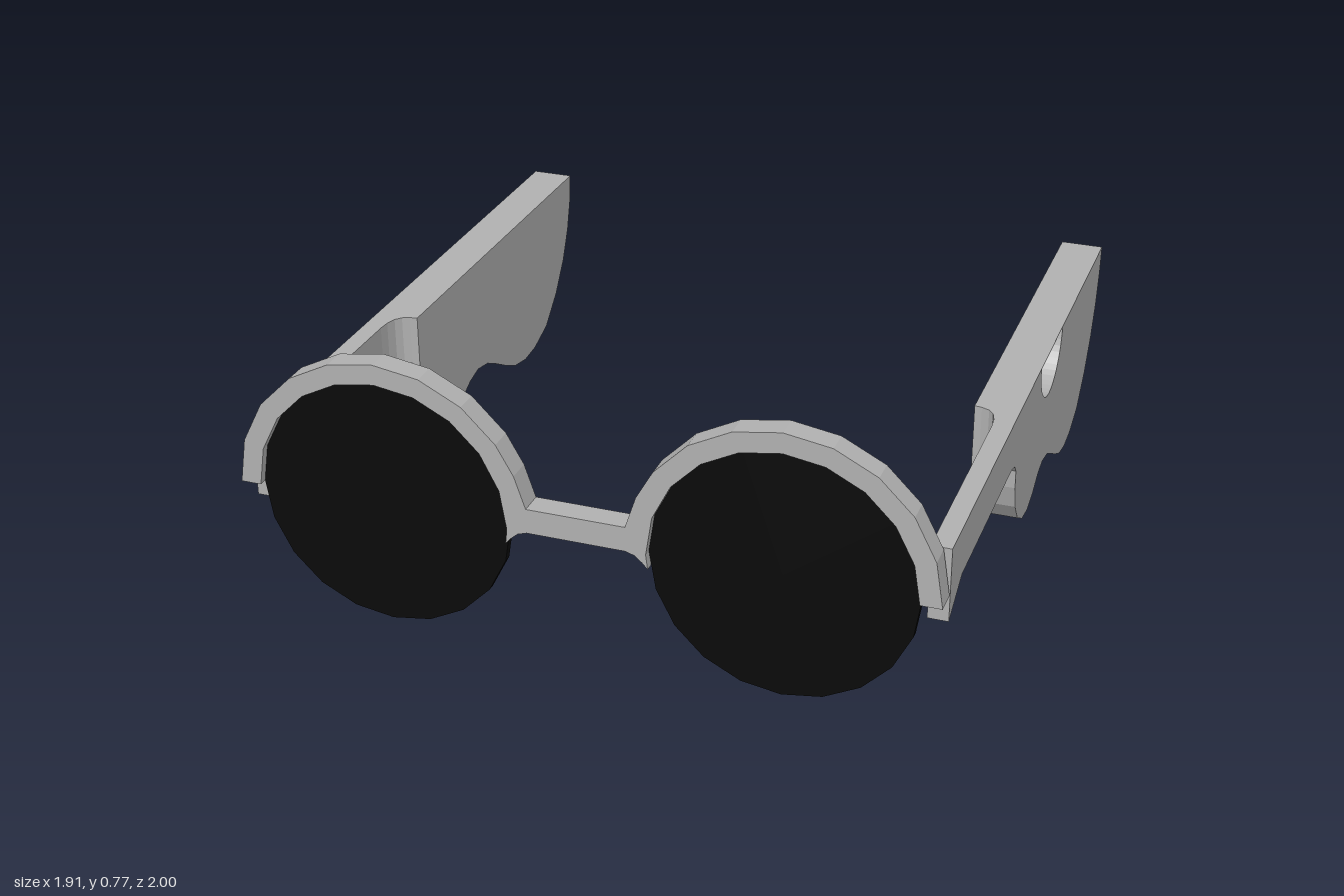
import * as THREE from 'three';

const grey = new THREE.MeshStandardMaterial({ color: 0xb0b0b0 });
grey.name = 'frameGrey';
const black = new THREE.MeshStandardMaterial({ color: 0x0a0a0a });
black.name = 'lensBlack';

const LENS_X = 0.545, LENS_Y = 0.36, LENS_R = 0.355, RIM_R = 0.412;
const OUTER = 0.957, MID = 0.902, INNER = 0.832, TOP = 0.488;

function addMesh(parent, name, geometry, material) {
  const mesh = new THREE.Mesh(geometry, material);
  mesh.name = name;
  parent.add(mesh);
  return mesh;
}

const toShape = (pts) => new THREE.Shape(pts.map(([x, y]) => new THREE.Vector2(x, y)));
const extrude = (shape, depth) =>
  new THREE.ExtrudeGeometry(shape, { depth, bevelEnabled: false, curveSegments: 12 });

// Point on a circle around the lens centre, angle in degrees
function rimPoint(r, deg) {
  const a = THREE.MathUtils.degToRad(deg);
  return [LENS_X + r * Math.cos(a), LENS_Y + r * Math.sin(a)];
}

// Half-round rims joined by the bridge, as one outline mirrored across x = 0
function frameGeometry() {
  const half = [[0.135, 0.36], [0.16, 0.352], [0.18, 0.335], [0.195, 0.318]];
  for (let d = 180; d >= 0; d -= 18) half.push(rimPoint(LENS_R, d));
  for (let d = 0; d <= 144; d += 18) half.push(rimPoint(RIM_R, d));
  half.push([0.165, 0.52], [0.135, 0.43]);
  const mirrored = half.map(([x, y]) => [-x, y]).reverse();
  return extrude(toShape([...half, ...mirrored]), 0.068).translate(0, 0, 0.932);
}

// Wavy lower edge of the ear piece, as [z, y] from the back tip to its front
const wave = [
  [-1, TOP], [-0.99, 0.4], [-0.965, 0.31], [-0.92, 0.215], [-0.85, 0.12], [-0.76, 0.04],
  [-0.66, 0.006], [-0.58, 0], [-0.5, 0.015], [-0.42, 0.053], [-0.35, 0.092], [-0.29, 0.122],
  [-0.22, 0.135], [-0.16, 0.122], [-0.1, 0.092], [-0.03, 0.075], [0.04, 0.085],
  [0.11, 0.125], [0.155, 0.185], [0.175, 0.255],
];

// Extrudes a [z, y] outline along x, from x0 to x1
function sideExtrude(pts, x0, x1, hole) {
  const shape = toShape(pts.map(([z, y]) => [-z, y]));
  if (hole) shape.holes.push(hole);
  return extrude(shape, x1 - x0).rotateY(Math.PI / 2).translate(x0, 0, 0);
}

function addTemple(parent, side) {
  const temple = new THREE.Group();
  temple.name = side > 0 ? 'leftTemple' : 'rightTemple';
  const span = (a, b) => (side > 0 ? [a, b] : [-b, -a]);

  // Outer layer: full arm with a half-round pocket below its top edge
  const arm = [...wave, [0.178, 0.31], [0.2, 0.335], [0.24, 0.345],
    [0.8, 0.345], [0.925, 0.28], [0.925, TOP]];
  const pocket = new THREE.Path();
  pocket.absarc(0.25, TOP - 0.002, 0.143, Math.PI, Math.PI * 2, false);
  pocket.closePath();
  addMesh(temple, 'arm', sideExtrude(arm, ...span(MID, OUTER), pocket), grey);

  // Inner layer: thick ear piece
  addMesh(temple, 'earPiece',
    sideExtrude([...wave, [0.175, TOP]], ...span(INNER, MID)), grey);

  // Concave fillet where the ear piece meets the thin arm, outline in [x, z]
  const fillet = [[MID, 0.175], [INNER, 0.175], [0.853, 0.178], [0.875, 0.187],
    [0.89, 0.205], [0.899, 0.235], [MID, 0.27]];
  const geometry = extrude(toShape(fillet.map(([x, z]) => [side * x, -z])), TOP - 0.342)
    .rotateX(-Math.PI / 2).translate(0, 0.342, 0);
  addMesh(temple, 'fillet', geometry, grey);
  parent.add(temple);
}

export function createModel() {
  const model = new THREE.Group();
  model.name = 'roundGlasses';
  addMesh(model, 'frameFront', frameGeometry(), grey);

  for (const side of [1, -1]) {
    // Flat twenty-sided lens
    const lens = new THREE.CylinderGeometry(LENS_R, LENS_R, 0.022, 20).rotateX(Math.PI / 2);
    addMesh(model, side > 0 ? 'leftLens' : 'rightLens', lens, black)
      .position.set(side * LENS_X, LENS_Y, 0.966);
    addTemple(model, side);
  }
  return model;
}
